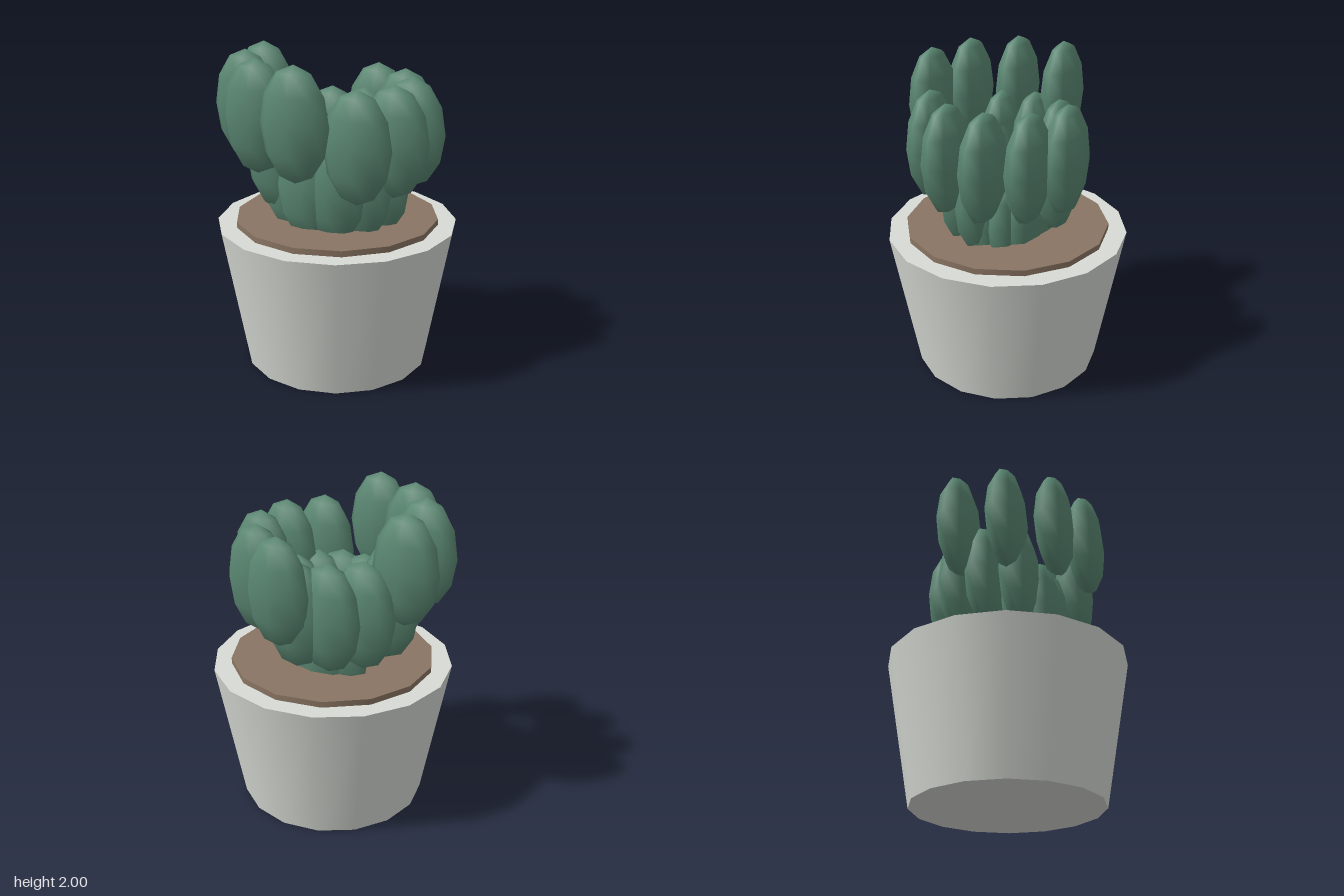
import * as THREE from 'three';

const potMaterial = new THREE.MeshStandardMaterial({ name: 'pale ceramic', color: 0xd8dbd5 });
const soilMaterial = new THREE.MeshStandardMaterial({ name: 'brown soil', color: 0x8a7563 });
const leafMaterial = new THREE.MeshStandardMaterial({ name: 'succulent green', color: 0x5a8772 });

function addMesh(parent, name, geometry, material, x, y, z) {
  const mesh = new THREE.Mesh(geometry, material);
  mesh.name = name;
  mesh.position.set(x, y, z);
  parent.add(mesh);
  return mesh;
}

export function createModel() {
  const model = new THREE.Group();
  model.name = 'pottedSucculent';

  // Tapered pot with a soil disc resting on its top
  addMesh(model, 'pot', new THREE.CylinderGeometry(0.755, 0.59, 0.92, 16), potMaterial, 0, 0.46, 0);
  addMesh(model, 'soil', new THREE.CylinderGeometry(0.64, 0.64, 0.06, 14), soilMaterial, 0, 0.927, 0);

  // Plump leaves placed by the golden angle, in five tiers that rise outwards
  const leaves = new THREE.Group();
  leaves.name = 'leaves';
  model.add(leaves);
  const leafGeometry = new THREE.SphereGeometry(1, 8, 6).scale(0.215, 0.342, 0.112);
  const goldenAngle = THREE.MathUtils.degToRad(137.5);
  for (let i = 0; i < 24; i++) {
    const tier = i % 5;
    const radius = 0.19 + 0.09 * tier;
    const angle = i * goldenAngle;
    addMesh(leaves, 'leaf', leafGeometry, leafMaterial,
      radius * Math.cos(angle), 1.058 + 0.15 * tier, radius * Math.sin(angle));
  }
  return model;
}
